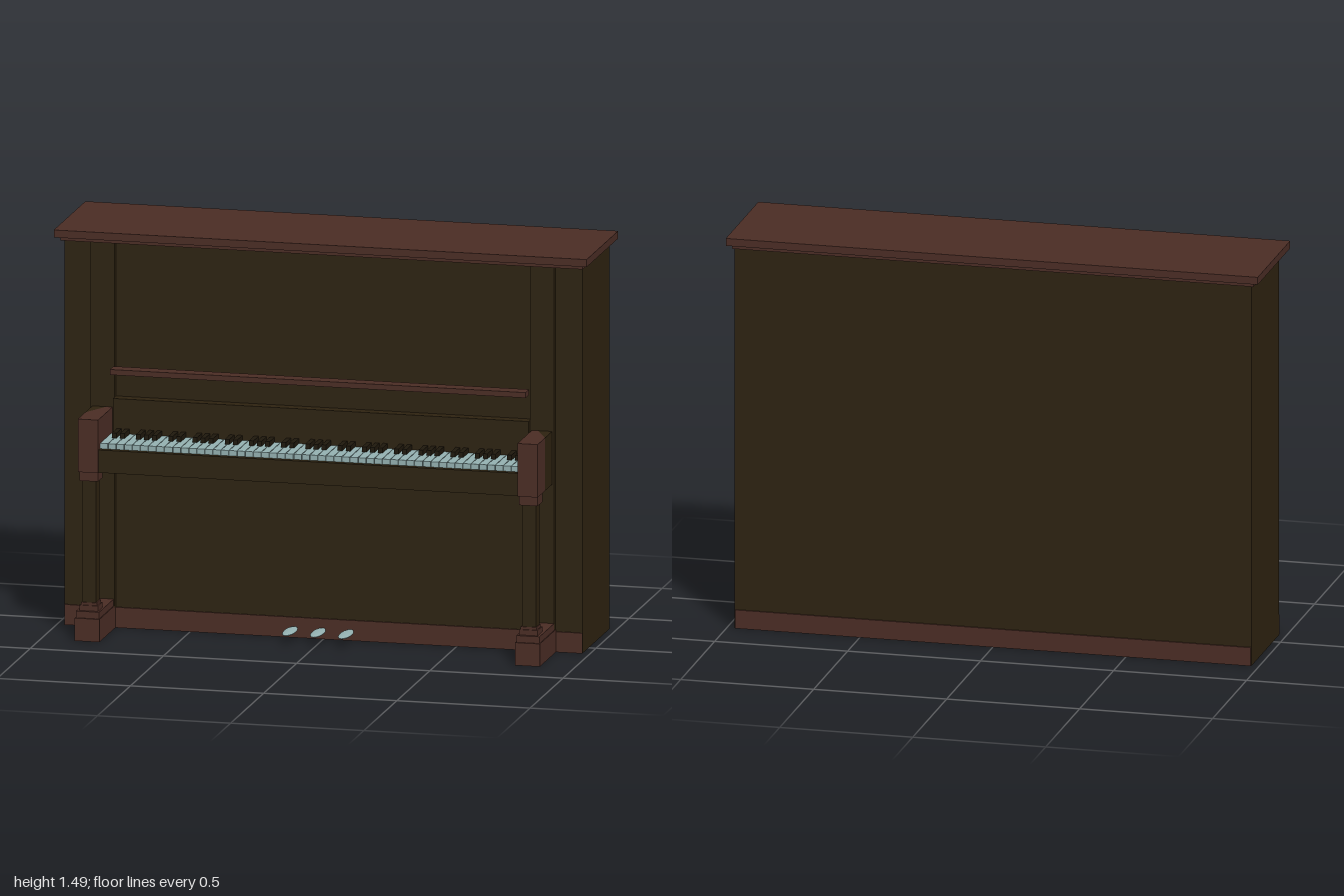
import * as THREE from 'three';

const mat = (name, color) => {
  const m = new THREE.MeshStandardMaterial({ color });
  m.name = name;
  return m;
};

export function createModel() {
  const darkWood = mat('darkWood', 0x2d2210);
  const redWood = mat('redWood', 0x4a2c24);
  const ivory = mat('ivory', 0x93b0b0);
  const ebony = mat('ebony', 0x1f180c);

  const piano = new THREE.Group();
  piano.name = 'uprightPiano';

  // Box given by its limits on each axis
  const box = (name, m, x0, x1, y0, y1, z0, z1, parent = piano) => {
    const mesh = new THREE.Mesh(new THREE.BoxGeometry(x1 - x0, y1 - y0, z1 - z0), m);
    mesh.position.set((x0 + x1) / 2, (y0 + y1) / 2, (z0 + z1) / 2);
    mesh.name = name;
    parent.add(mesh);
    return mesh;
  };

  // Upright prism from a plan outline of [x, z] points
  const prism = (name, m, plan, y0, y1, parent) => {
    const shape = new THREE.Shape(plan.map(([x, z]) => new THREE.Vector2(x, -z)));
    const geo = new THREE.ExtrudeGeometry(shape, { depth: y1 - y0, bevelEnabled: false });
    geo.rotateX(-Math.PI / 2).translate(0, y0, 0);
    const mesh = new THREE.Mesh(geo, m);
    mesh.name = name;
    parent.add(mesh);
  };

  // Case: a hollow shell, open underneath
  box('backPanel', darkWood, -0.96, 0.96, 0, 1.445, -0.315, -0.305);
  box('frontPanel', darkWood, -0.96, 0.96, 0, 1.445, 0.08, 0.09);
  box('backPlinth', redWood, -0.97, 0.97, 0, 0.07, -0.321, -0.315);
  box('frontPlinth', redWood, -0.972, 0.972, 0, 0.076, 0.09, 0.096);
  box('lidMoulding', redWood, -0.98, 0.98, 1.443, 1.457, -0.321, 0.125);
  box('lid', redWood, -1, 1, 1.457, 1.485, -0.336, 0.143);

  // Sides, pilasters, legs and arms, mirrored
  for (const s of [1, -1]) {
    const side = new THREE.Group();
    side.name = s > 0 ? 'leftSide' : 'rightSide';
    piano.add(side);
    const part = (name, m, x0, x1, ...yz) =>
      box(name, m, Math.min(s * x0, s * x1), Math.max(s * x0, s * x1), ...yz, side);

    part('sidePanel', darkWood, 0.96, 0.972, 0, 1.445, -0.315, 0.09);
    part('pilaster', darkWood, 0.78, 0.87, 0.076, 1.443, 0.09, 0.112);

    part('foot', redWood, 0.78, 0.873, 0, 0.085, 0.096, 0.34);
    part('footTop', redWood, 0.783, 0.87, 0.085, 0.11, 0.112, 0.333);
    part('legBase', redWood, 0.79, 0.86, 0.11, 0.13, 0.25, 0.32);
    part('legCollar', redWood, 0.795, 0.855, 0.13, 0.14, 0.255, 0.315);
    part('leg', darkWood, 0.8, 0.852, 0.14, 0.595, 0.259, 0.312);
    part('legCapital', redWood, 0.79, 0.86, 0.595, 0.63, 0.25, 0.32);

    // Arm block tapers behind, with a dark cheek filling the outer corner
    const plan = (pts) => {
      const p = pts.map(([x, z]) => [s * x, z]);
      return s > 0 ? p : p.reverse();
    };
    prism('arm', redWood,
      plan([[0.787, 0.112], [0.787, 0.332], [0.863, 0.332], [0.863, 0.22], [0.81, 0.112]]),
      0.63, 0.828, side);
    prism('armCheek', darkWood,
      plan([[0.81, 0.112], [0.863, 0.22], [0.863, 0.112]]), 0.63, 0.828, side);
  }

  // Key bed, slip in front of the keys, and fallboard behind them
  box('keyBed', darkWood, -0.787, 0.787, 0.63, 0.712, 0.09, 0.3);
  box('keySlip', darkWood, -0.787, 0.787, 0.63, 0.715, 0.3, 0.325);
  box('fallboard', darkWood, -0.78, 0.78, 0.712, 0.865, 0.09, 0.133);

  // Keyboard: 52 naturals starting on C, with sharps in twos and threes
  const keyboard = new THREE.Group();
  keyboard.name = 'keyboard';
  piano.add(keyboard);
  const count = 52, left = -0.787, pitch = 1.574 / count;
  for (let i = 0; i < count; i++) {
    const x = left + i * pitch;
    box('whiteKey', ivory, x + 0.001, x + pitch - 0.001, 0.712, 0.735, 0.133, 0.303, keyboard);
    if ([0, 1, 3, 4, 5].includes(i % 7) && i < count - 1) {
      const c = x + pitch;
      box('blackKey', ebony, c - 0.0085, c + 0.0085, 0.735, 0.754, 0.133, 0.21, keyboard);
    }
  }

  // Music shelf
  box('musicShelf', redWood, -0.78, 0.78, 0.964, 0.984, 0.127, 0.181);

  // Pedals
  for (const x of [-0.105, 0, 0.105]) {
    const pedal = new THREE.Mesh(new THREE.SphereGeometry(1, 20, 12), ivory);
    pedal.scale.set(0.023, 0.008, 0.075);
    pedal.position.set(x - 0.003, 0.039, 0.165);
    pedal.name = 'pedal';
    piano.add(pedal);
  }

  return piano;
}
